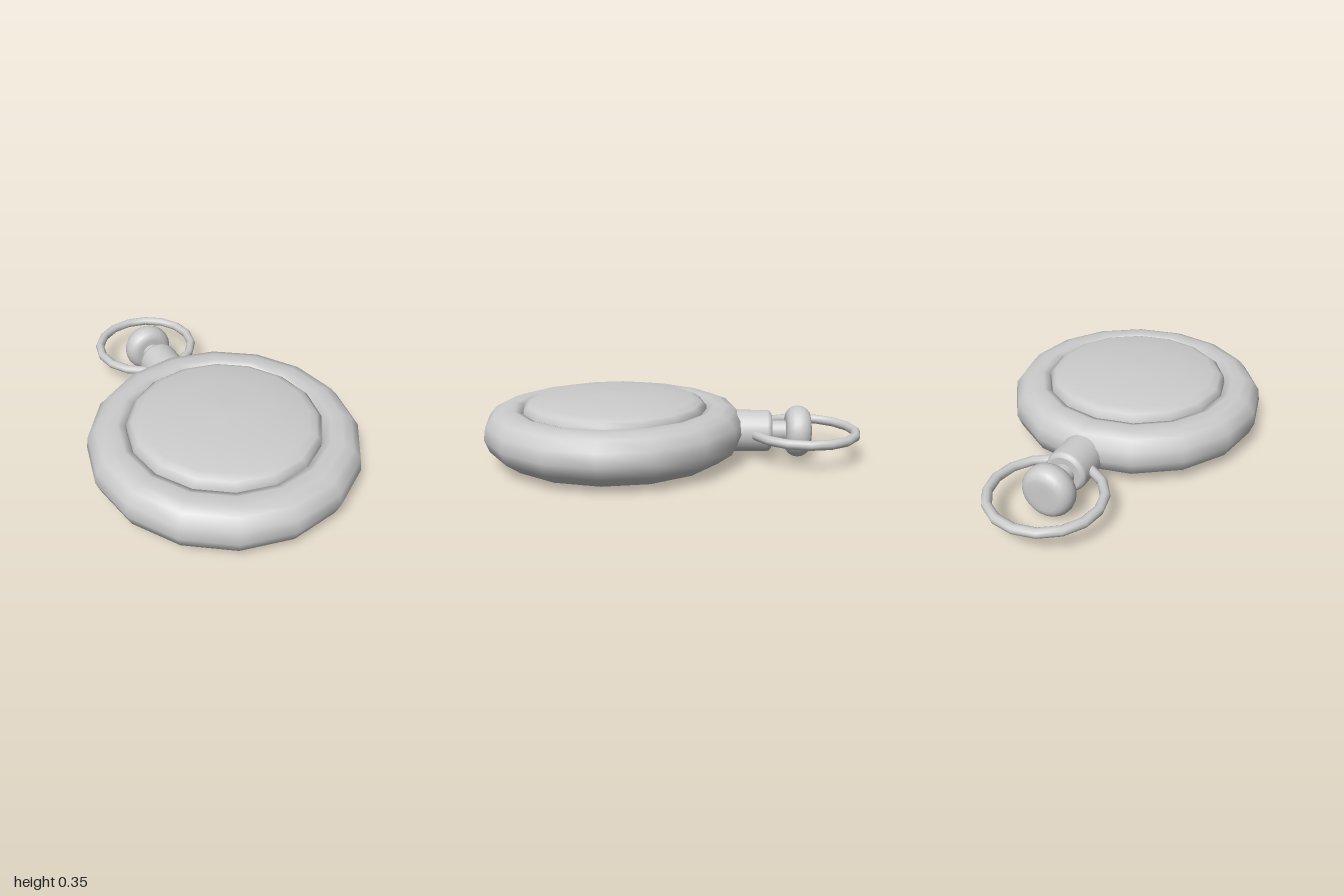
import * as THREE from 'three';

const SIDES = 16;
const MID_Y = 0.14; // height of the stem axis
const CASE_Z = 0.3; // centre of the case

export function createModel() {
  const group = new THREE.Group();
  const material = new THREE.MeshStandardMaterial({ color: 0xcccccc, side: THREE.DoubleSide });

  function add(name, geometry, y, z) {
    const mesh = new THREE.Mesh(geometry, material);
    mesh.name = name;
    mesh.position.set(0, y, z);
    group.add(mesh);
    return mesh;
  }
  const lathe = (pairs, sides) =>
    new THREE.LatheGeometry(pairs.map(([r, y]) => new THREE.Vector2(r, y)), sides);

  // Rounded case with a flat back and a rolled lip around the lid
  add('case', lathe([
    [0, 0], [0.48, 0.004], [0.59, 0.025], [0.665, 0.08], [0.69, 0.145],
    [0.68, 0.21], [0.64, 0.26], [0.59, 0.278], [0.53, 0.28], [0.495, 0.268], [0.485, 0.23],
  ], SIDES), 0, CASE_Z);

  // Domed lid set inside the lip
  add('lid', lathe([
    [0.485, 0.23], [0.485, 0.278], [0.46, 0.298], [0.42, 0.315], [0.24, 0.339], [0, 0.347],
  ], SIDES), 0, CASE_Z);

  // Stem parts are turned around an axis that points backwards (-z)
  function addTurned(name, pairs) {
    add(name, lathe(pairs, 24), MID_Y, 0).rotation.x = -Math.PI / 2;
  }
  addTurned('neck', [
    [0.11, 0.28], [0.11, 0.505], [0.106, 0.52], [0.092, 0.53], [0.088, 0.53], [0, 0.53],
  ]);
  addTurned('stem', [[0.055, 0.52], [0.055, 0.62]]);

  // Winding crown with a rounded rim
  const crown = [[0, 0.605], [0.05, 0.605]];
  for (let i = 0; i <= 8; i++) {
    const a = -Math.PI / 2 + (Math.PI * i) / 8;
    crown.push([0.08 + 0.056 * Math.cos(a), 0.67 + 0.065 * Math.sin(a)]);
  }
  crown.push([0.05, 0.735], [0, 0.735]);
  addTurned('crown', crown);

  // Bow ring that passes through the neck
  add('bow', new THREE.TorusGeometry(0.275, 0.025, 10, SIDES), MID_Y, -0.7)
    .rotation.x = Math.PI / 2;

  return group;
}
